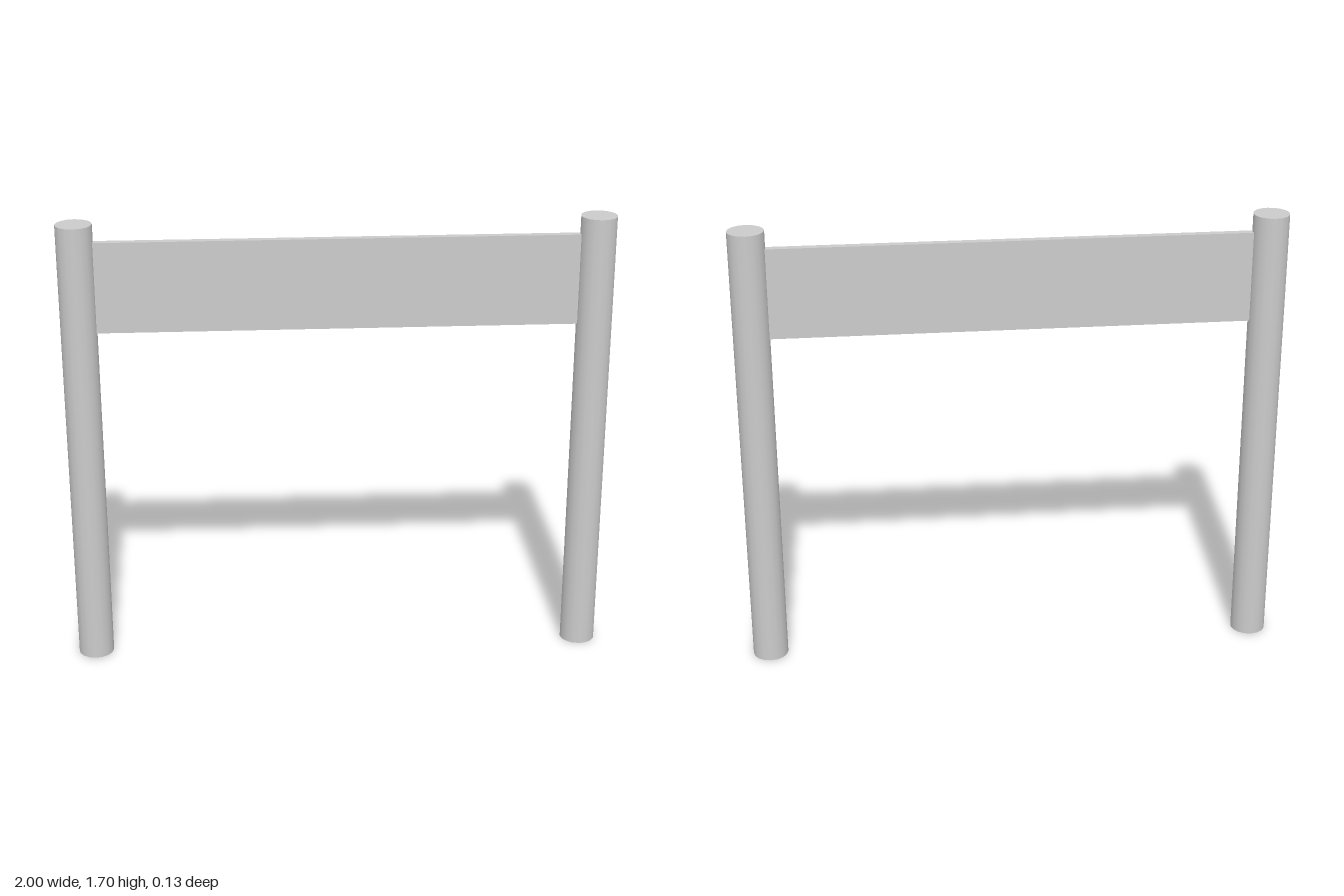
import * as THREE from 'three';

export function createModel() {
  const model = new THREE.Group();
  const material = new THREE.MeshStandardMaterial({ color: 0xcccccc });
  const height = 1.695, radius = 0.066;

  // Two round posts standing on the ground
  const postGeometry = new THREE.CylinderGeometry(radius, radius, height, 16);
  for (const side of [-1, 1]) {
    const post = new THREE.Mesh(postGeometry, material);
    post.name = side > 0 ? 'leftPost' : 'rightPost';
    post.position.set(side * (1 - radius), height / 2, 0);
    model.add(post);
  }

  // Thin board spanning the posts near the top
  const board = new THREE.Mesh(new THREE.BoxGeometry(1.74, 0.336, 0.028), material);
  board.name = 'board';
  board.position.y = 1.461;
  model.add(board);

  return model;
}
